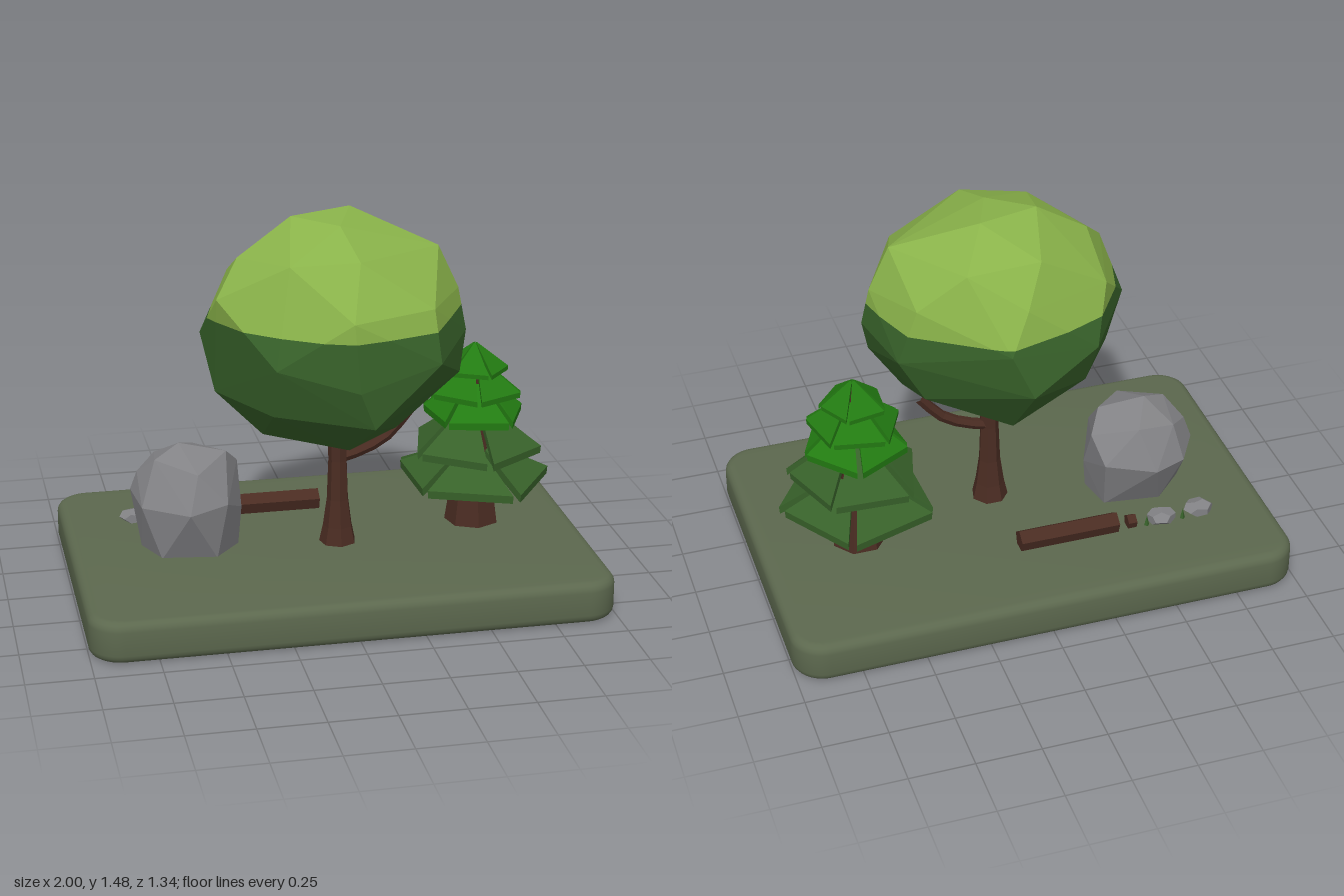
import * as THREE from 'three';
import { mergeGeometries, toCreasedNormals } from 'three/addons/utils/BufferGeometryUtils.js';
import { ConvexGeometry } from 'three/addons/geometries/ConvexGeometry.js';

const mat = (name, color) => {
  const m = new THREE.MeshStandardMaterial({ color });
  m.name = name;
  return m;
};

// Gives every face its own flat normal
const facet = (geo) => {
  const g = geo.index ? geo.toNonIndexed() : geo;
  g.computeVertexNormals();
  return g;
};

const hull = (pts) => new ConvexGeometry(pts.map((p) => new THREE.Vector3(...p)));

// Keeps the part of a faceted geometry above (side 1) or below (side -1) a height
function clipAtHeight(geo, h, side) {
  const pos = geo.attributes.position, out = [];
  for (let i = 0; i < pos.count; i += 3) {
    const tri = [0, 1, 2].map((k) => new THREE.Vector3().fromBufferAttribute(pos, i + k));
    const poly = [];
    tri.forEach((a, k) => {
      const b = tri[(k + 1) % 3], da = (a.y - h) * side, db = (b.y - h) * side;
      if (da >= 0) poly.push(a);
      if (da * db < 0) poly.push(a.clone().lerp(b, da / (da - db)));
    });
    for (let k = 1; k + 1 < poly.length; k++)
      for (const v of [poly[0], poly[k], poly[k + 1]]) out.push(v.x, v.y, v.z);
  }
  const g = new THREE.BufferGeometry();
  g.setAttribute('position', new THREE.Float32BufferAttribute(out, 3));
  g.computeVertexNormals();
  return g;
}

// One tier of a fir: five flat boughs with narrow gaps between them
function firTier(rIn, rOut, yTop, yRim, thick, turn) {
  const boughs = [];
  for (let i = 0; i < 5; i++) {
    const pts = [];
    for (const s of [0, 1]) {
      const edge = turn + ((i + s) * Math.PI * 2) / 5, sign = s ? -1 : 1;
      const r = rOut * (1 + 0.05 * Math.sin(i * 2.3 + s * 1.7 + turn * 5));
      const at = (rad, gap, y) => {
        const a = edge + sign * gap;
        pts.push([Math.cos(a) * rad, y, Math.sin(a) * rad]);
      };
      at(rIn, 0.12, yTop);
      at(rIn, 0.12, yTop - thick * 1.3);
      at(r, 0.05, yRim + thick);
      at(r * 0.99, 0.05, yRim);
    }
    boughs.push(hull(pts));
  }
  return mergeGeometries(boughs);
}

export function createModel() {
  const root = new THREE.Group();
  root.name = 'woodlandScene';
  const moss = mat('mossGround', 0x5c684e);
  const bark = mat('bark', 0x4a2c22);
  const leafLight = mat('lightLeaves', 0x8ab34a);
  const leafDark = mat('darkLeaves', 0x38622a);
  const fir = mat('brightFir', 0x237c12);
  const stone = mat('stone', 0x828285);
  const add = (name, geo, material, parent = root) => {
    const m = new THREE.Mesh(geo, material);
    m.name = name;
    parent.add(m);
    return m;
  };
  const group = (name) => {
    const g = new THREE.Group();
    g.name = name;
    root.add(g);
    return g;
  };

  // Ground slab with rounded corners and soft edges
  const b = 0.035, w = 1 - b, d = 0.668 - b, r = 0.09;
  const plan = new THREE.Shape();
  plan.absarc(w - r, d - r, r, 0, Math.PI / 2);
  plan.absarc(-w + r, d - r, r, Math.PI / 2, Math.PI);
  plan.absarc(-w + r, -d + r, r, Math.PI, Math.PI * 1.5);
  plan.absarc(w - r, -d + r, r, Math.PI * 1.5, Math.PI * 2);
  const slab = new THREE.ExtrudeGeometry(plan, {
    depth: 0.162 - 2 * b, bevelSize: b, bevelThickness: b, bevelSegments: 4, curveSegments: 6,
  });
  slab.rotateX(-Math.PI / 2).translate(0, b, 0);
  add('ground', toCreasedNormals(slab, 0.7), moss);

  // Round tree
  const tree = group('roundTree');
  const trunk = new THREE.LatheGeometry([
    [0.074, 0.155], [0.058, 0.23], [0.043, 0.34], [0.037, 0.5], [0.04, 0.72],
  ].map(([x, y]) => new THREE.Vector2(x, y)), 7);
  add('trunk', facet(trunk), bark, tree).position.set(0.035, 0, 0.055);
  const branchPath = new THREE.CatmullRomCurve3([
    [0.04, 0.505], [0.14, 0.535], [0.23, 0.585], [0.32, 0.69],
  ].map(([x, y]) => new THREE.Vector3(x, y, 0.05)));
  add('branch', facet(new THREE.TubeGeometry(branchPath, 5, 0.022, 6)), bark, tree);

  const crown = hull([
    [0.25, 0.64, 0.12], [-0.27, 0.65, 0.12], [0.02, 0.64, 0.33], [0.02, 0.66, -0.2],
    [0.37, 0.73, 0.1], [-0.44, 0.81, 0.05], [0.08, 0.78, 0.51], [0.48, 0.87, 0.18],
    [0.35, 0.82, -0.15], [-0.27, 0.8, 0.35], [-0.26, 0.83, -0.22], [0.02, 0.93, 0.535],
    [0, 0.91, -0.4], [-0.49, 1.04, 0.02], [0.515, 1.02, 0.13], [0.08, 1.09, -0.38],
    [-0.27, 1, 0.43], [0.34, 1, 0.46], [0.45, 1, -0.15], [-0.28, 1.02, -0.3],
    [-0.45, 1.21, 0.18], [0.49, 1.18, 0.1], [0, 1.19, 0.52], [0.32, 1.2, 0.42],
    [0.38, 1.22, -0.17], [0, 1.24, -0.32], [-0.35, 1.22, -0.18], [-0.35, 1.33, 0.05],
    [0.41, 1.35, 0.1], [0.05, 1.38, 0.38], [-0.08, 1.38, -0.22], [0.2, 1.36, -0.21],
    [-0.2, 1.36, 0.32], [-0.14, 1.47, 0.02], [0.1, 1.48, -0.05], [0.02, 1.46, 0.16],
  ]);
  add('crownTop', clipAtHeight(crown, 1.115, 1), leafLight, tree);
  add('crownBottom', clipAtHeight(crown, 1.115, -1), leafDark, tree);

  // Fir tree: tapering trunk and five tiers
  const firTree = group('firTree');
  firTree.position.set(0.605, 0, -0.06);
  const firTrunk = new THREE.LatheGeometry([
    [0.11, 0.155], [0.084, 0.33], [0.045, 0.55], [0.012, 0.87],
  ].map(([x, y]) => new THREE.Vector2(x, y)), 7);
  add('firTrunk', facet(firTrunk), bark, firTree);
  [
    [0.075, 0.305, 0.475, 0.335, 0.032, 0, leafDark],
    [0.065, 0.255, 0.635, 0.455, 0.03, 0.3, leafDark],
    [0.055, 0.208, 0.745, 0.6, 0.028, -0.15, fir],
    [0.04, 0.178, 0.825, 0.69, 0.022, 0.45, fir],
    [0.008, 0.128, 0.9, 0.785, 0.018, 0.1, fir],
  ].forEach(([rIn, rOut, yTop, yRim, t, turn, m], i) =>
    add('firTier' + (i + 1), firTier(rIn, rOut, yTop, yRim, t, turn), m, firTree));

  // Boulder
  add('boulder', hull([
    [-0.72, 0.155, -0.05], [-0.66, 0.155, 0.09], [-0.45, 0.155, 0.12], [-0.35, 0.155, 0],
    [-0.38, 0.155, -0.14], [-0.6, 0.155, -0.17], [-0.755, 0.38, -0.1], [-0.73, 0.36, 0.06],
    [-0.56, 0.36, 0.185], [-0.41, 0.38, 0.14], [-0.33, 0.3, -0.03], [-0.36, 0.38, -0.2],
    [-0.55, 0.36, -0.27], [-0.68, 0.36, -0.22], [-0.73, 0.46, -0.08], [-0.67, 0.53, 0],
    [-0.52, 0.5, 0.12], [-0.39, 0.54, -0.02], [-0.335, 0.47, -0.1], [-0.5, 0.52, -0.19],
    [-0.65, 0.5, -0.17], [-0.57, 0.575, -0.05],
  ]), stone);

  // Two pebbles
  [[-0.715, -0.308, 0.4], [-0.555, -0.318, 1.3]].forEach(([x, z, turn], i) => {
    const g = new THREE.DodecahedronGeometry(1).rotateY(turn).scale(0.062, 0.032, 0.05);
    add('pebble' + (i + 1), facet(g), stone).position.set(x, 0.182, z);
  });

  // Fallen log, five-sided with a ridge on top, and its short cut piece
  [['log', -0.17, 0.4, 0.044], ['logPiece', -0.43, 0.035, 0.03]].forEach(([name, x, len, rad]) => {
    const g = new THREE.CylinderGeometry(rad, rad, len, 5).rotateZ(Math.PI / 2).rotateX(Math.PI / 2);
    g.computeBoundingBox();
    // Turn so one ridge points up
    const ridge = new THREE.Vector3().fromBufferAttribute(g.attributes.position, 0);
    g.rotateX(Math.atan2(ridge.z, ridge.y) * -1);
    g.computeBoundingBox();
    g.translate(0, 0.158 - g.boundingBox.min.y, 0);
    add(name, facet(g), bark).position.set(x, 0, -0.312);
  });

  // Tiny grass tufts
  [-0.64, -0.49].forEach((x, i) => {
    add('grassTuft' + (i + 1), facet(new THREE.ConeGeometry(0.012, 0.05, 4)), leafDark)
      .position.set(x, 0.182, -0.33);
  });
  return root;
}
